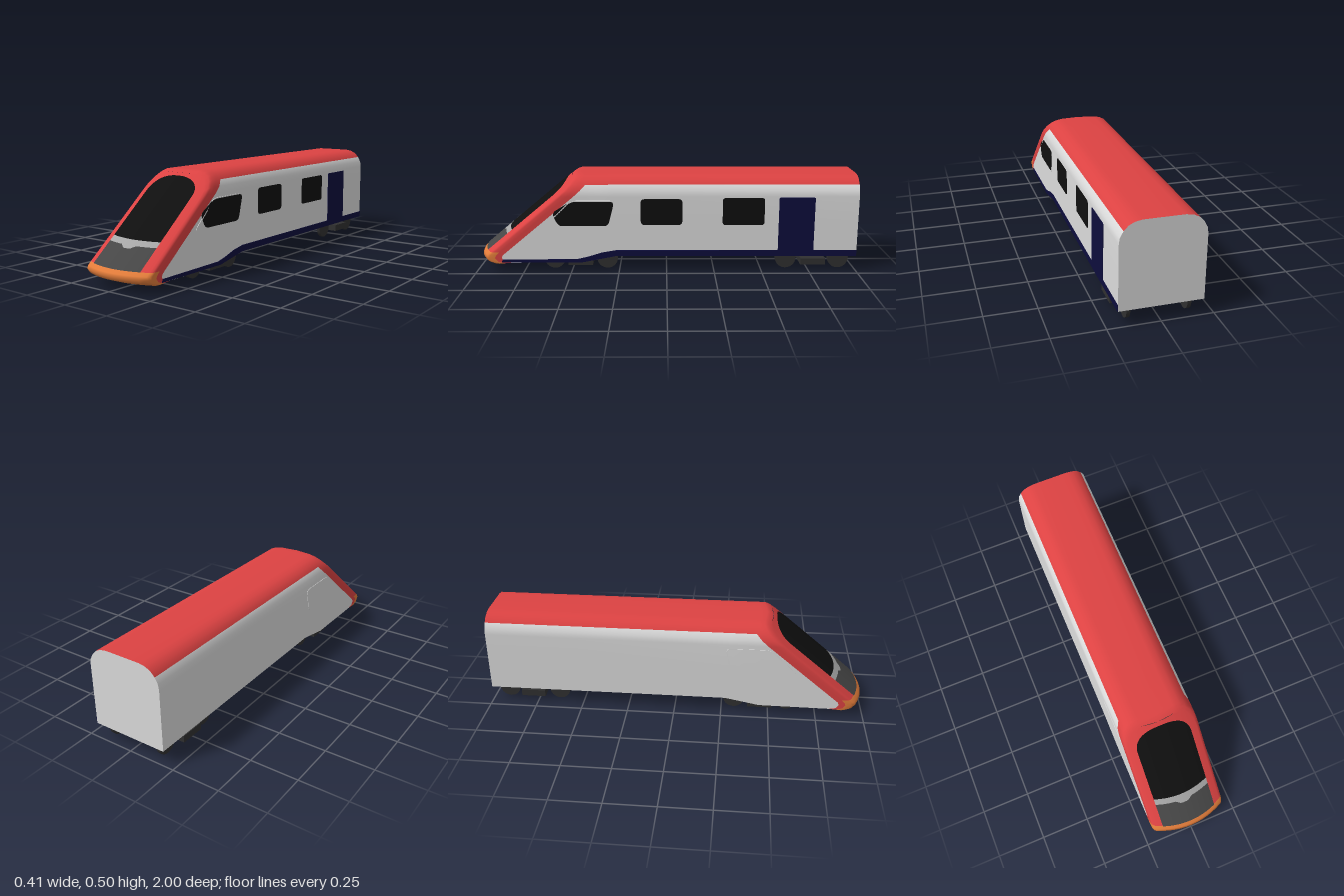
import * as THREE from 'three';
import { mergeVertices } from 'three/addons/utils/BufferGeometryUtils.js';

const paint = (name, color) => Object.assign(new THREE.MeshStandardMaterial({ color }), { name });
const white = paint('body white', 0xdcdcdc);
const red = paint('roof red', 0xdc4242);
const orange = paint('bumper orange', 0xe27c3a);
const navy = paint('trim navy', 0x0d0d3c);
const black = paint('glass black', 0x0f0f0f);
const darkGrey = paint('nose dark grey', 0x464646);
const lightGrey = paint('nose light grey', 0xa6a6a6);
const iron = paint('running gear', 0x303030);

// Linear interpolation through a short table of [t, value]
function lerpTable(table, t) {
  if (t <= table[0][0]) return table[0][1];
  for (let i = 1; i < table.length; i++) {
    const [t0, v0] = table[i - 1], [t1, v1] = table[i];
    if (t <= t1) return v0 + (v1 - v0) * (t - t0) / (t1 - t0);
  }
  return table[table.length - 1][1];
}

// Nose surface: a raked face, bowed across its width, with a rounded chin
const NOSE = [[0.037, 0.95], [0.05, 0.985], [0.07, 1], [0.085, 0.993], [0.1, 0.975], [0.503, 0.49]];
const noseZ = (x, y) => lerpTable(NOSE, y) - 0.05 * (x / 0.2) ** 2;
// Underside height along the length
const BELLY = [[0.27, 0.08], [0.45, 0.045], [0.8, 0.045], [0.9, 0.037]];

// Right half of the cross-section, from the sill to the roof centre
const HALF = [[0.2, 0.037], [0.2, 0.05], [0.2, 0.07], [0.2, 0.085], [0.2, 0.1], [0.2, 0.25], [0.2, 0.4],
  [0.196, 0.43], [0.18, 0.46], [0.158, 0.483], [0.13, 0.497], [0.095, 0.503], [0, 0.503]];
const ARCH = [...HALF, ...HALF.slice(0, -1).reverse().map(([x, y]) => [-x, y])];
const ACROSS = Array.from({ length: 13 }, (_, i) => i / 6 - 1);

// Stations along the body, then rounded rings that follow the nose
const STATIONS = [
  { z: -1 }, { z: 0.27 }, { z: 0.36 }, { z: 0.45 },
  { back: 0.08, inset: 0 }, { back: 0.045, inset: 0 }, { back: 0.015, inset: 0 },
  { back: 0.004, inset: 0.005 }, { back: 0, inset: 0.015 },
];
const FRONT = STATIONS[STATIONS.length - 1];

function stationPoint(s, [px, py]) {
  const inset = s.inset || 0;
  const x = px * (1 - inset / 0.2);
  const y = py > 0.1 ? 0.1 + (py - 0.1) * (1 - inset / 0.403) : py;
  const z = s.z === undefined ? noseZ(x, y) - s.back : Math.min(s.z, noseZ(x, y) - 0.08);
  return [x, Math.max(y, lerpTable(BELLY, z)), z];
}

// Joins grids of points into one smooth mesh, grouped by material
function gridMesh(name, grids) {
  const positions = [], buckets = new Map();
  for (const { rows, material } of grids) {
    const start = positions.length / 3, n = rows[0].length;
    rows.forEach((row) => row.forEach((p) => positions.push(...p)));
    for (let i = 0; i < rows.length - 1; i++) {
      for (let j = 0; j < n - 1; j++) {
        const m = material(i, j);
        if (!buckets.has(m)) buckets.set(m, []);
        const a = start + i * n + j, b = a + 1, c = b + n, d = a + n;
        buckets.get(m).push(a, b, c, a, c, d);
      }
    }
  }
  let geometry = new THREE.BufferGeometry();
  geometry.setAttribute('position', new THREE.Float32BufferAttribute(positions, 3));
  const index = [];
  [...buckets.values()].forEach((list, k) => {
    geometry.addGroup(index.length, list.length, k);
    for (const v of list) index.push(v);
  });
  geometry.setIndex(index);
  geometry = mergeVertices(geometry, 1e-5);
  geometry.computeVertexNormals();
  const mesh = new THREE.Mesh(geometry, [...buckets.keys()]);
  mesh.name = name;
  return mesh;
}

// Painted panel lying on the nose, between two heights
function nosePanel(name, material, low, high) {
  const xs = Array.from({ length: 41 }, (_, i) => 0.148 * Math.sin((i / 20 - 1) * Math.PI / 2));
  const rows = [low, high].map((f) => xs.map((x) => [x, f(x), noseZ(x, f(x)) + 0.005]));
  return gridMesh(name, [{ rows, material: () => material }]);
}

// Closed outline in (z, y) with softened corners
function outline(points, radius, Type = THREE.Shape) {
  const path = new Type();
  const pts = points.map(([z, y]) => new THREE.Vector2(-z, y));
  pts.forEach((p, i) => {
    const prev = pts[(i + pts.length - 1) % pts.length], next = pts[(i + 1) % pts.length];
    const toward = (q) => p.clone().add(q.clone().sub(p).setLength(Math.min(radius, q.distanceTo(p) / 2)));
    const a = toward(prev), b = toward(next);
    if (i === 0) path.moveTo(a.x, a.y); else path.lineTo(a.x, a.y);
    path.quadraticCurveTo(p.x, p.y, b.x, b.y);
  });
  path.closePath();
  return path;
}

// Thin plate on the side wall
function sidePlate(name, material, shape, x = 0.1995) {
  const geometry = new THREE.ExtrudeGeometry(shape, { depth: 0.003, bevelEnabled: false, curveSegments: 5 });
  geometry.rotateY(Math.PI / 2);
  const mesh = new THREE.Mesh(geometry, material);
  mesh.name = name;
  mesh.position.x = x;
  return mesh;
}

const rect = (z0, z1, y0, y1) => [[z0, y0], [z1, y0], [z1, y1], [z0, y1]];

function bogie(name, z) {
  const group = new THREE.Group();
  group.name = name;
  group.position.z = z;
  const beam = new THREE.Mesh(new THREE.BoxGeometry(0.38, 0.036, 0.13), iron);
  beam.name = 'crossBeam';
  beam.position.y = 0.045;
  const pivot = new THREE.Mesh(new THREE.CylinderGeometry(0.04, 0.04, 0.03, 20), iron);
  pivot.name = 'pivot';
  pivot.position.y = 0.07;
  group.add(beam, pivot);
  const wheelGeometry = new THREE.CylinderGeometry(0.055, 0.055, 0.018, 28).rotateZ(Math.PI / 2);
  for (const sx of [-1, 1]) {
    for (const sz of [-1, 1]) {
      const wheel = new THREE.Mesh(wheelGeometry, iron);
      wheel.name = 'wheel';
      wheel.position.set(sx * 0.143, 0.055, sz * 0.14);
      group.add(wheel);
    }
  }
  return group;
}

export function createModel() {
  const train = new THREE.Group();
  train.name = 'trainCar';

  // Shell and nose face share smooth normals
  const levels = HALF.slice(0, -1);
  const shell = {
    rows: STATIONS.map((s) => ARCH.map((p) => stationPoint(s, p))),
    material: (i, j) => {
      const level = Math.min(j, ARCH.length - 2 - j);
      if (i >= 5 && level < 4) return orange;
      return i >= 4 || level >= 8 ? red : white;
    },
  };
  const face = {
    rows: levels.map(([w, y]) => ACROSS.map((u) => stationPoint(FRONT, [u * w, y]))),
    material: (i) => (i < 4 ? orange : red),
  };
  train.add(gridMesh('bodyShell', [shell, face]));

  // Underside and flat rear wall
  train.add(gridMesh('underside', [{
    rows: STATIONS.map((s) => ACROSS.map((u) => stationPoint(s, [u * 0.2, 0.037]))),
    material: () => white,
  }]));
  train.add(gridMesh('rearWall', [{
    rows: levels.map(([w, y]) => ACROSS.map((u) => [-u * w, Math.max(y, 0.08), -1])),
    material: () => white,
  }]));

  // Windscreen with the grey panels below it
  const arch = (x) => 0.395 + 0.081 * Math.sqrt(Math.max(0, 1 - Math.abs(x / 0.148) ** 2.3));
  const dip = (x) => 0.19 - 0.012 * THREE.MathUtils.clamp((0.045 - Math.abs(x)) / 0.025, 0, 1);
  train.add(nosePanel('windscreen', black, () => 0.212, arch));
  train.add(nosePanel('windscreenSill', lightGrey, dip, () => 0.212));
  train.add(nosePanel('lowerNosePanel', darkGrey, () => 0.101, dip));

  // Cab window surround on both sides
  const surround = outline([[0.295, 0.238], [0.645, 0.238], [0.5, 0.38], [0.265, 0.38]], 0.03);
  surround.holes.push(outline([[0.3, 0.243], [0.63, 0.243], [0.497, 0.375], [0.271, 0.375]], 0.027, THREE.Path));
  train.add(sidePlate('cabWindowFrame', white, surround));
  train.add(sidePlate('cabWindowFrame', white, surround, -0.2025));

  // Left side: windows, door and sill stripe
  const cab = [[0.305, 0.244], [0.565, 0.244], [0.597, 0.315], [0.5, 0.374], [0.272, 0.374]];
  train.add(sidePlate('cabWindow', black, outline(cab, 0.025)));
  train.add(sidePlate('sideWindow', black, outline(rect(0.135, -0.082, 0.25, 0.388), 0.022)));
  train.add(sidePlate('sideWindow', black, outline(rect(-0.292, -0.51, 0.25, 0.393), 0.014)));
  train.add(sidePlate('door', navy, outline(rect(-0.585, -0.772, 0.09, 0.395), 0.006)));
  const stripe = [[-1, 0.08], [0.27, 0.08], [0.45, 0.045], [0.87, 0.045], [0.865, 0.061],
    [0.47, 0.064], [0.41, 0.078], [0.34, 0.1], [0.27, 0.112], [-1, 0.112]];
  train.add(sidePlate('sillStripe', navy, outline(stripe, 0.0005)));

  train.add(bogie('frontBogie', 0.455), bogie('rearBogie', -0.775));
  return train;
}
